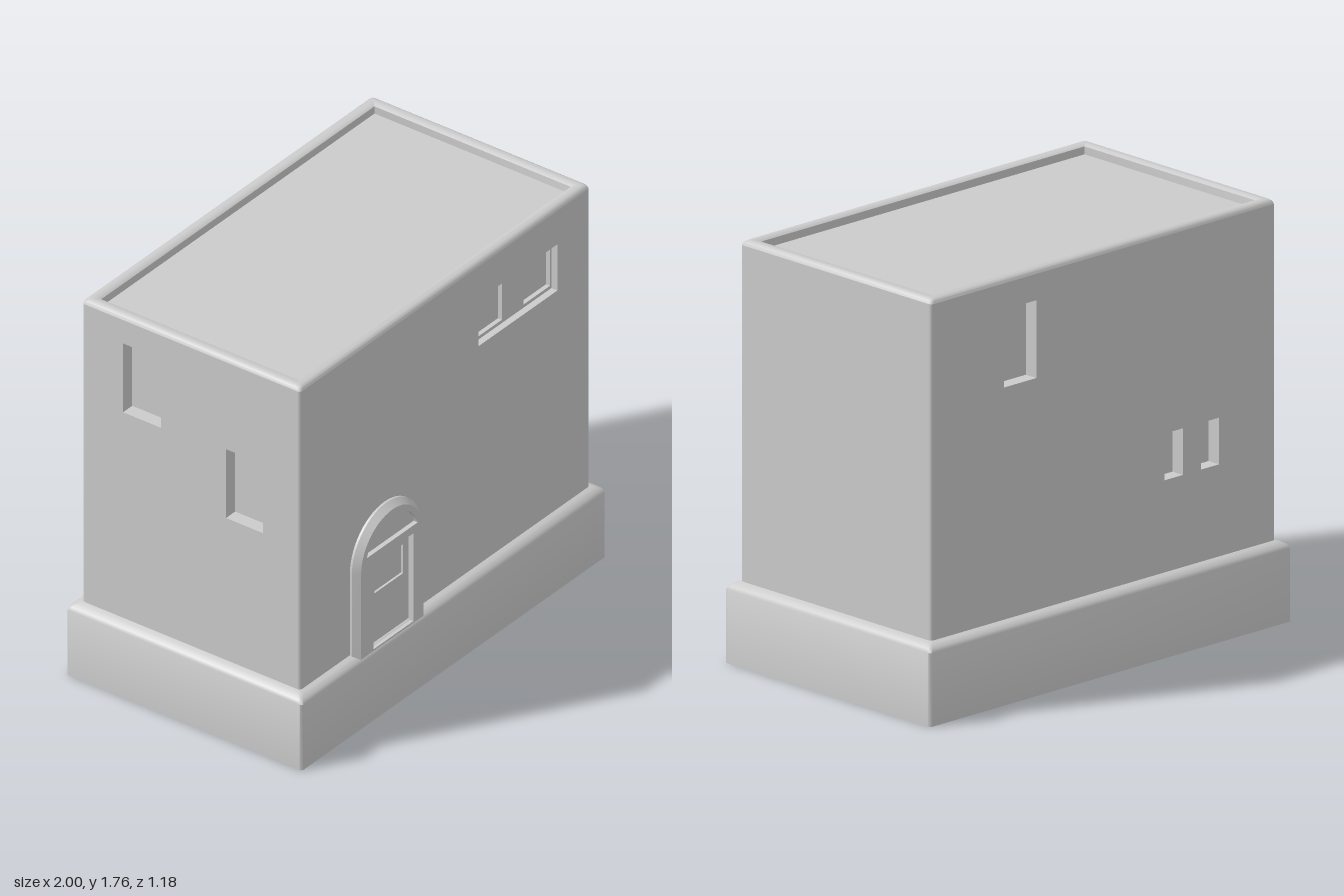
import * as THREE from 'three';
import { toCreasedNormals } from 'three/addons/utils/BufferGeometryUtils.js';

const material = new THREE.MeshStandardMaterial({ color: 0xcccccc, side: THREE.DoubleSide });
const HX = 0.952, HZ = 0.546, WALL_BOTTOM = 0.34, WALL_TOP = 1.745, R = 0.015;

function addMesh(parent, name, geometry) {
  const mesh = new THREE.Mesh(geometry, material);
  mesh.name = name;
  parent.add(mesh);
  return mesh;
}

// Skin between rings that all have the same number of points
function loft(rings, closed) {
  const n = rings[0].length, index = [];
  for (let r = 0; r < rings.length - 1; r++) {
    for (let i = 0; i < (closed ? n : n - 1); i++) {
      const a = r * n + i, b = r * n + (i + 1) % n;
      index.push(a, b, a + n, b, b + n, a + n);
    }
  }
  const geometry = new THREE.BufferGeometry().setFromPoints(rings.flat());
  geometry.setIndex(index);
  return toCreasedNormals(geometry, 0.65);
}

// Horizontal rectangle with rounded corners, counter-clockwise seen from the front
function ring(hx, hz, y, r = R) {
  const points = [], corners = [[1, 1], [1, -1], [-1, -1], [-1, 1]];
  corners.forEach(([sx, sz], c) => {
    for (let k = 0; k <= 4; k++) {
      const a = Math.PI / 2 - (c + k / 4) * Math.PI / 2;
      points.push(new THREE.Vector3(sx * (hx - r) + r * Math.cos(a), y, sz * (hz - r) + r * Math.sin(a)));
    }
  });
  return points;
}

// Rectangles are given as [x0, x1, y0, y1]
function rectPath([x0, x1, y0, y1], PathType = THREE.Path) {
  return new PathType([[x0, y0], [x1, y0], [x1, y1], [x0, y1]].map(p => new THREE.Vector2(...p)));
}

function sheet(parent, name, rect, holes, z) {
  const shape = rectPath(rect, THREE.Shape);
  shape.holes = holes.map(h => rectPath(h));
  addMesh(parent, name, new THREE.ShapeGeometry(shape)).position.z = z;
}

// Box without its front face, and without its back if wanted
function recess(parent, name, [x0, x1, y0, y1], front, depth, withBack = true) {
  const geometry = new THREE.BoxGeometry(x1 - x0, y1 - y0, depth);
  const index = Array.from(geometry.index.array);
  geometry.setIndex(index.slice(0, 24).concat(withBack ? index.slice(30) : []));
  addMesh(parent, name, geometry).position.set((x0 + x1) / 2, (y0 + y1) / 2, front - depth / 2);
}

// Wall in its own xy plane, turned to face outwards
function wall(parent, name, half, distance, turn, openings) {
  const group = new THREE.Group();
  group.name = name;
  group.rotation.y = turn;
  parent.add(group);
  sheet(group, name + 'Surface', [-half + R, half - R, WALL_BOTTOM, WALL_TOP], openings, distance);
  return group;
}

// Upright arch outline from foot to foot
const ARCH_X = -0.398, SPRING = 0.722, FOOT = 0.322;
function archPoints(r) {
  const points = [[ARCH_X + r, FOOT]];
  for (let i = 0; i <= 28; i++) {
    const a = Math.PI * i / 28;
    points.push([ARCH_X + r * Math.cos(a), SPRING + r * Math.sin(a)]);
  }
  points.push([ARCH_X - r, FOOT]);
  return points;
}

function createDoorway() {
  const group = new THREE.Group();
  group.name = 'doorway';
  const door = [-0.522, -0.26, 0.33, 0.745], pane = [-0.482, -0.295, 0.565, 0.702];
  const bottom = 0.548, front = 0.585;

  // Sloped outer edge of the surround
  const edge = [[0.228, 0.54], [0.228, 0.556], [0.205, front]].map(([r, z]) =>
    archPoints(r).map(([x, y]) => new THREE.Vector3(x, y, z)));
  addMesh(group, 'archEdge', loft(edge, false));

  // Flat surround with door opening and half-round light
  const shape = new THREE.Shape(archPoints(0.205).map(p => new THREE.Vector2(...p)));
  const a0 = Math.asin(0.06 / 0.178);
  const light = new THREE.Path();
  light.absarc(ARCH_X, SPRING, 0.178, a0, Math.PI - a0, false);
  light.closePath();
  shape.holes = [rectPath(door), light];
  addMesh(group, 'archSurround', new THREE.ExtrudeGeometry(shape,
    { depth: front - bottom, bevelEnabled: false, curveSegments: 24 })).position.z = bottom;

  const glass = new THREE.Shape();
  glass.absarc(ARCH_X, SPRING, 0.18, a0, Math.PI - a0, false);
  addMesh(group, 'archLight', new THREE.ShapeGeometry(glass, 24)).position.z = 0.565;

  sheet(group, 'door', door, [pane], 0.56);
  recess(group, 'doorWindow', pane, 0.56, 0.01);
  return group;
}

export function createModel() {
  const model = new THREE.Group();
  model.name = 'building';

  // Plinth, open underneath
  addMesh(model, 'plinth', loft([
    ring(1, 0.59, 0), ring(1, 0.59, 0.308), ring(0.992, 0.582, 0.322),
    ring(0.968, 0.562, 0.335), ring(HX, HZ, WALL_BOTTOM),
  ], true));

  // Walls
  const frontWindow = [0.22, 0.737, 1.37, 1.588];
  const backWindows = [[-0.55, -0.37, 1.31, 1.635], [0.34, 0.44, 0.725, 0.92], [0.54, 0.64, 0.725, 0.92]];
  const sideWindows = [[-0.34, -0.15, 1.31, 1.635], [0.175, 0.36, 1.01, 1.335]];
  const front = wall(model, 'frontWall', HX, HZ, 0, [frontWindow]);
  const back = wall(model, 'backWall', HX, HZ, Math.PI, backWindows);
  const right = wall(model, 'rightWall', HZ, HX, -Math.PI / 2, sideWindows);
  wall(model, 'leftWall', HZ, HX, Math.PI / 2, []);
  backWindows.forEach(w => recess(back, 'backWindow', w, HZ, 0.06));
  sideWindows.forEach(w => recess(right, 'sideWindow', w, HX, 0.06));

  // Wide front window with two sunken panes
  const panes = [[0.23, 0.412, 1.385, 1.575], [0.555, 0.728, 1.385, 1.575]];
  recess(front, 'frontWindowReveal', frontWindow, HZ, 0.03, false);
  sheet(front, 'frontWindowFrame', frontWindow, panes, HZ - 0.03);
  panes.forEach(p => recess(front, 'frontWindowPane', p, HZ - 0.03, 0.02));

  // Rounded wall corners
  for (const sx of [-1, 1]) for (const sz of [-1, 1]) {
    const start = Math.atan2(sx, sz) - Math.PI / 4;
    const corner = new THREE.CylinderGeometry(R, R, WALL_TOP - WALL_BOTTOM, 4, 1, true, start, Math.PI / 2);
    addMesh(model, 'wallCorner', corner)
      .position.set(sx * (HX - R), (WALL_TOP + WALL_BOTTOM) / 2, sz * (HZ - R));
  }

  // Parapet and sunken roof
  addMesh(model, 'parapet', loft([
    ring(HX, HZ, WALL_TOP), ring(HX - 0.005, HZ - 0.005, 1.757), ring(HX - 0.018, HZ - 0.018, 1.765),
    ring(0.908, 0.502, 1.765, 0.006), ring(0.897, 0.491, 1.757, 0.004), ring(0.895, 0.489, 1.725, 0.004),
  ], true));
  const roof = addMesh(model, 'roof', new THREE.PlaneGeometry(1.79, 0.978));
  roof.rotation.x = -Math.PI / 2;
  roof.position.y = 1.725;

  model.add(createDoorway());
  return model;
}
